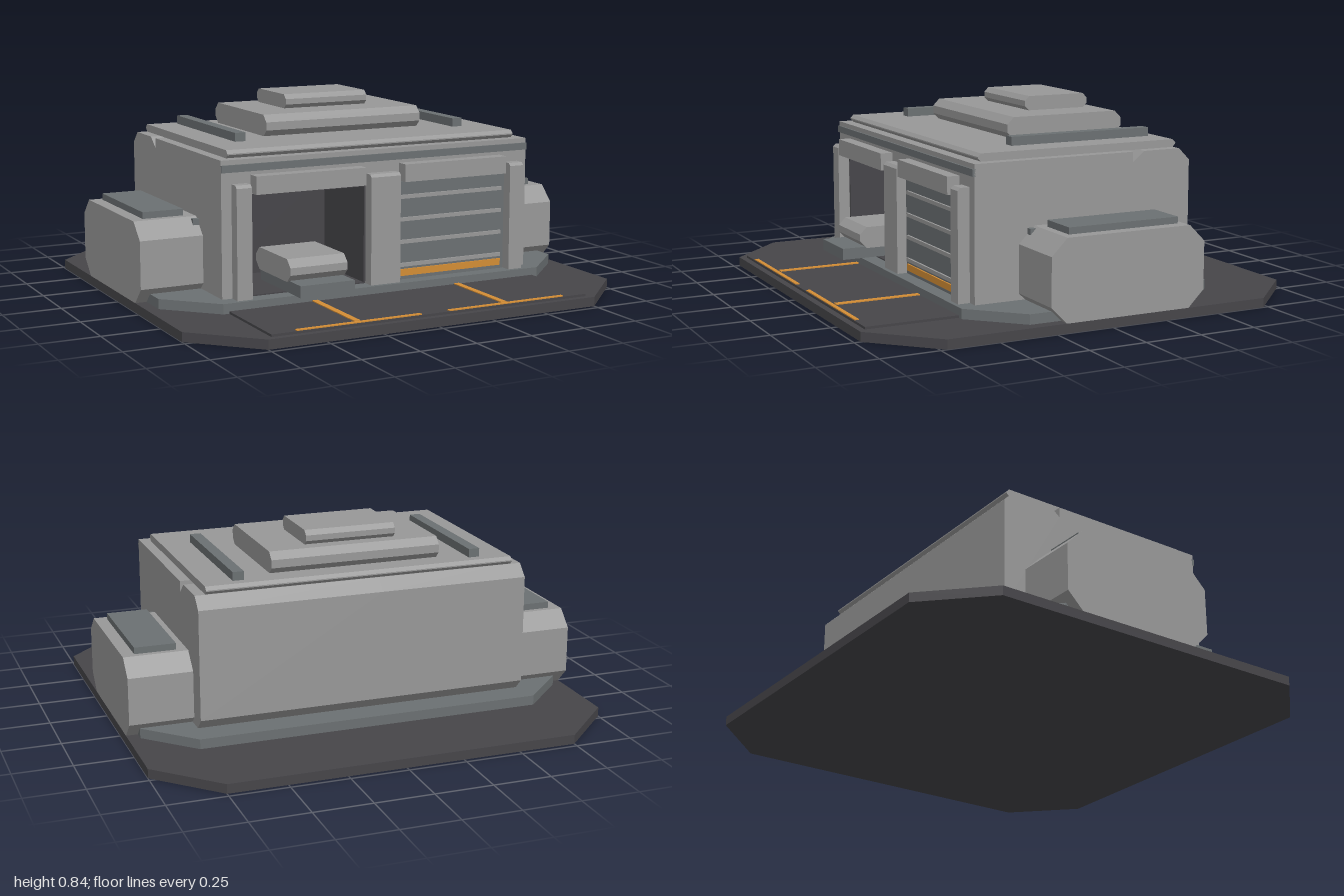
import * as THREE from 'three';

const mat = (name, color) => {
  const m = new THREE.MeshStandardMaterial({ color });
  m.name = name;
  return m;
};

export function createModel() {
  const wall = mat('light grey', 0x989898);
  const trim = mat('slate grey', 0x6b7072);
  const dark = mat('charcoal', 0x464549);
  const orange = mat('orange', 0xd38d35);
  const model = new THREE.Group();

  const add = (name, geo, material) => {
    const mesh = new THREE.Mesh(geo, material);
    mesh.name = name;
    model.add(mesh);
    return mesh;
  };
  // box given by its limits on each axis
  const box = (name, m, x0, x1, y0, y1, z0, z1) => add(name,
    new THREE.BoxGeometry(x1 - x0, y1 - y0, z1 - z0)
      .translate((x0 + x1) / 2, (y0 + y1) / 2, (z0 + z1) / 2), m);
  const toShape = pts => new THREE.Shape(pts.map(p => new THREE.Vector2(...p)));
  // side profile of (z, y) points extruded from x0 to x1
  const profile = (name, m, x0, x1, pts) => add(name,
    new THREE.ExtrudeGeometry(toShape(pts), { depth: x1 - x0, bevelEnabled: false })
      .rotateY(-Math.PI / 2).translate(x1, 0, 0), m);
  // ground plan of (x, z) points extruded from y0 to y1
  const plan = (name, m, y0, y1, pts) => add(name,
    new THREE.ExtrudeGeometry(toShape(pts), { depth: y1 - y0, bevelEnabled: false })
      .rotateX(Math.PI / 2).translate(0, y1, 0), m);
  // rectangle with cut corners
  const octagon = (a0, a1, b0, b1, ca, cb = ca) => [
    [a0 + ca, b0], [a1 - ca, b0], [a1, b0 + cb], [a1, b1 - cb],
    [a1 - ca, b1], [a0 + ca, b1], [a0, b1 - cb], [a0, b0 + cb]];

  // ground slab, raised platform and apron
  plan('groundSlab', dark, 0, 0.04, octagon(-1, 1, -0.977, 0.973, 0.25));
  plan('platform', trim, 0.04, 0.082, octagon(-0.95, 0.95, -0.6, 0.545, 0.2));
  box('apron', dark, -0.725, 0.725, 0.04, 0.05, 0.5, 0.945);

  // main hall: side profile with a roof notch, cut back where the bay opens
  const rear = [[0.475, 0.65], [-0.25, 0.65], [-0.25, 0.605], [-0.305, 0.65],
    [-0.475, 0.65], [-0.525, 0.6], [-0.525, 0.13], [-0.475, 0.08]];
  const solid = [[0.475, 0.08], ...rear];
  const bayBack = 0.1;
  const hollow = [[bayBack, 0.08], [bayBack, 0.505], [0.475, 0.505], ...rear];
  profile('hallRightWall', wall, -0.725, -0.61, solid);
  profile('hallBay', wall, -0.61, -0.07, hollow);
  profile('hallLeftBlock', wall, -0.07, 0.725, solid);
  box('fasciaBand', trim, -0.725, 0.725, 0.6, 0.63, 0.47, 0.483);

  // dark lining of the open bay
  box('bayBackWall', dark, -0.61, -0.07, 0.08, 0.505, bayBack, bayBack + 0.008);
  box('bayCeiling', dark, -0.61, -0.07, 0.497, 0.505, bayBack, 0.475);
  box('bayFloor', dark, -0.61, -0.07, 0.08, 0.087, bayBack, 0.475);
  for (const x of [-0.61, -0.078]) box('baySideWall', dark, x, x + 0.008, 0.08, 0.505, bayBack, 0.475);
  box('bayLightStrip', wall, -0.49, -0.195, 0.455, 0.47, bayBack + 0.005, bayBack + 0.02);

  // closed shutter with ribs and a warning stripe
  box('shutter', trim, 0.07, 0.61, 0.082, 0.505, 0.47, 0.483);
  for (const y of [0.146, 0.246, 0.343, 0.44]) {
    box('shutterRib', wall, 0.09, 0.592, y - 0.008, y + 0.008, 0.48, 0.492);
  }
  box('shutterStripe', orange, 0.09, 0.592, 0.098, 0.127, 0.482, 0.49);

  // door posts and lintels
  for (const [x0, x1] of [[-0.68, -0.613], [-0.07, 0.07], [0.613, 0.68]]) {
    profile('doorPost', wall, x0, x1, [[0.47, 0.08], [0.527, 0.08], [0.527, 0.54],
      [0.515, 0.552], [0.47, 0.552]]);
  }
  for (const [x0, x1] of [[-0.595, -0.095], [0.09, 0.59]]) {
    box('lintel', wall, x0, x1, 0.51, 0.585, 0.47, 0.53);
  }

  // roof plate, stacked roof blocks and rails
  profile('roofPlate', wall, -0.68, 0.68, octagon(-0.485, 0.438, 0.65, 0.683, 0.014));
  profile('lowerRoofBlock', wall, -0.375, 0.375, octagon(-0.4, 0.15, 0.68, 0.775, 0.03));
  profile('upperRoofBlock', wall, -0.2, 0.2, octagon(-0.33, -0.025, 0.773, 0.837, 0.02));
  for (const x of [-0.527, 0.527]) {
    box('roofRail', trim, x - 0.024, x + 0.024, 0.68, 0.72, -0.43, 0.222);
  }

  // side pods with top plates and connecting collars
  for (const s of [-1, 1]) {
    const span = (a, b) => (s > 0 ? [a, b] : [-b, -a]);
    profile('sidePod', wall, ...span(0.72, 1), octagon(-0.425, 0.278, 0.04, 0.382, 0.07));
    box('podTopPlate', trim, ...span(0.77, 0.947), 0.375, 0.41, -0.33, 0.173);
    box('podCollar', trim, ...span(0.72, 0.752), 0.345, 0.375, 0.1, 0.24);
  }

  // small craft nosing out of the open bay
  profile('craftHull', wall, -0.472, -0.212, octagon(0.25, 0.585, 0.145, 0.24, 0.032));
  box('craftBase', trim, -0.465, -0.22, 0.1, 0.15, 0.28, 0.665);

  // painted guide lines on the apron
  for (const [x0, x1, c] of [[-0.617, -0.065, -0.342], [0.062, 0.613, 0.337]]) {
    box('guideCrossLine', orange, x0, x1, 0.049, 0.054, 0.925, 0.943);
    box('guideStemLine', orange, c - 0.013, c + 0.013, 0.049, 0.054, 0.54, 0.917);
  }
  return model;
}
